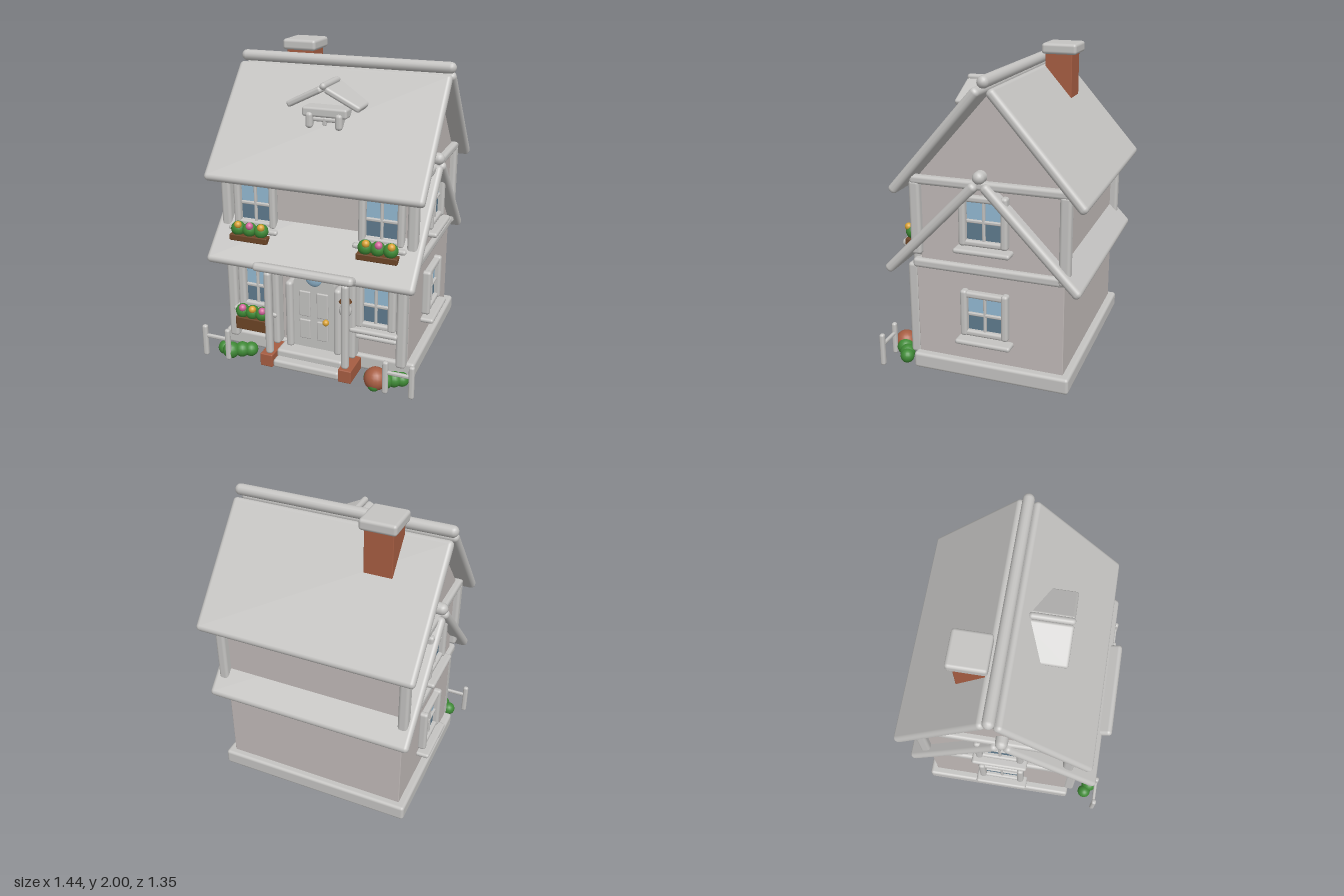
import * as THREE from 'three';
import { RoundedBoxGeometry } from 'three/addons/geometries/RoundedBoxGeometry.js';

const mat = (name, color) => Object.assign(new THREE.MeshStandardMaterial({ color }), { name });

export function createModel() {
  const house = new THREE.Group();
  house.name = 'cottage';
  const trim = mat('trim grey', 0xc4c3c1), wall = mat('wall grey', 0xc0b9b7);
  const brick = mat('brick', 0xa65d42), wood = mat('brown wood', 0x6c4426);
  const leaf = mat('leaf green', 0x3f8a36), pink = mat('pink', 0xd2669c);
  const gold = mat('gold', 0xd9a233);
  const glass = mat('glass', 0x93b9d2), lowGlass = mat('deep glass', 0x5f7b8e);

  const add = (name, geo, m, parent = house) => {
    const mesh = new THREE.Mesh(geo, m);
    mesh.name = name;
    parent.add(mesh);
    return mesh;
  };
  // Rounded block given by its limits on each axis
  const box = (name, m, [x0, x1], [y0, y1], [z0, z1], r = 0.02, parent = house) => {
    const mesh = add(name, new RoundedBoxGeometry(x1 - x0, y1 - y0, z1 - z0, 2, r), m, parent);
    mesh.position.set((x0 + x1) / 2, (y0 + y1) / 2, (z0 + z1) / 2);
    return mesh;
  };
  const ball = (name, m, r, x, y, z, parent = house) => {
    const mesh = add(name, new THREE.SphereGeometry(r, 18, 12), m, parent);
    mesh.position.set(x, y, z);
    return mesh;
  };
  // Rounded slab across the house, between two centre points (z, y)
  const slab = (name, halfX, [za, ya], [zb, yb], t = 0.06) => {
    const len = Math.hypot(zb - za, yb - ya) + t;
    const mesh = add(name, new RoundedBoxGeometry(halfX * 2, t, len, 3, t * 0.45), trim);
    mesh.position.set(0, (ya + yb) / 2, (za + zb) / 2);
    mesh.rotation.x = -Math.atan2(yb - ya, zb - za);
    return mesh;
  };
  const roll = (name, r, len, y, z) => {
    const mesh = add(name, new THREE.CapsuleGeometry(r, len - 2 * r, 4, 16), trim);
    mesh.rotation.z = Math.PI / 2;
    mesh.position.set(0, y, z);
    return mesh;
  };

  // Plinth and storeys
  box('plinth', trim, [-0.66, 0.66], [0.02, 0.125], [-0.577, 0.445], 0.02);
  box('groundFloor', wall, [-0.61, 0.61], [0.1, 0.76], [-0.53, 0.42], 0.005);
  box('upperFloor', wall, [-0.61, 0.61], [0.7, 1.3], [-0.52, 0.385], 0.005);
  const tri = new THREE.Shape([[-0.54, 1.27], [0.41, 1.27], [-0.065, 1.81]].map(p => new THREE.Vector2(...p)));
  const gable = new THREE.ExtrudeGeometry(tri, { depth: 1.22, bevelEnabled: false });
  gable.rotateY(-Math.PI / 2).translate(0.61, 0, 0);
  add('gable', gable, wall);

  // Timber posts and beams
  for (const s of [-1, 1]) {
    const side = (a, b) => (s > 0 ? [a, b] : [-b, -a]);
    box('upperFrontPost', trim, side(0.585, 0.65), [0.8, 1.27], [0.37, 0.44]);
    box('upperBackPost', trim, side(0.585, 0.65), [0.72, 1.27], [-0.57, -0.5]);
    box('gableBeam', trim, side(0.59, 0.65), [1.25, 1.305], [-0.57, 0.435]);
    box('floorBeam', trim, side(0.58, 0.64), [0.71, 0.77], [-0.535, 0.435]);
    box('cornerPost', trim, side(0.545, 0.61), [0.1, 0.72], [0.41, 0.485]);
    box('porchPilaster', trim, side(0.235, 0.285), [0.11, 0.67], [0.41, 0.5]);
  }
  box('frontBeam', trim, [-0.6, 0.6], [0.635, 0.675], [0.41, 0.46]);

  // Roofs
  slab('roofFront', 0.71, [-0.01, 1.825], [0.515, 1.225]);
  slab('roofBack', 0.71, [-0.645, 1.225], [-0.116, 1.825]);
  roll('roofRidge', 0.036, 1.44, 1.89, -0.065);
  slab('lowerRoofFront', 0.685, [0.026, 1.267], [0.577, 0.7]);
  slab('lowerRoofBack', 0.685, [-0.614, 0.7], [-0.063, 1.267]);
  roll('lowerRidge', 0.039, 1.37, 1.33, -0.016);

  // Chimney
  box('chimney', brick, [-0.425, -0.245], [1.55, 1.95], [-0.31, -0.13], 0.005);
  box('chimneyCap', trim, [-0.45, -0.22], [1.93, 2.0], [-0.342, -0.108], 0.02);

  // Window: local z points out of the wall; hw and y0..y1 are the pane, fw the frame width
  const windowAt = (name, x, z, turn, hw, y0, y1, fw, sillY) => {
    const g = new THREE.Group();
    g.name = name;
    const ym = (y0 + y1) / 2;
    box('upperPane', glass, [-hw, hw], [ym, y1], [0, 0.012], 0.001, g);
    box('lowerPane', lowGlass, [-hw, hw], [y0, ym], [0, 0.012], 0.001, g);
    for (const s of [-1, 1]) {
      const c = s * (hw + fw / 2);
      box('frameSide', trim, [c - fw / 2, c + fw / 2], [y0 - 0.03, y1 + 0.045], [-0.01, 0.05], 0.018, g);
    }
    box('frameTop', trim, [-hw - 0.02, hw + 0.02], [y1 - 0.005, y1 + 0.035], [-0.01, 0.04], 0.015, g);
    box('frameBottom', trim, [-hw - 0.02, hw + 0.02], [y0 - 0.03, y0 + 0.008], [-0.01, 0.04], 0.015, g);
    box('mullion', trim, [-0.009, 0.009], [y0, y1], [0, 0.028], 0.006, g);
    box('transom', trim, [-hw, hw], [ym - 0.01, ym + 0.01], [0, 0.028], 0.006, g);
    box('sill', trim, [-hw - fw - 0.025, hw + fw + 0.025], [sillY, sillY + 0.033], [-0.01, 0.085], 0.016, g);
    g.position.set(x, 0, z);
    g.rotation.y = turn;
    house.add(g);
  };
  for (const s of [-1, 1]) {
    windowAt('frontUpperWindow', s * 0.42, 0.385, 0, 0.1, 0.915, 1.16, 0.045, 0.858);
    windowAt('frontLowerWindow', s * 0.405, 0.425, 0, 0.08, 0.36, 0.61, 0.052, 0.305);
    windowAt('sideUpperWindow', s * 0.61, -0.037, s * Math.PI / 2, 0.11, 0.93, 1.18, 0.045, 0.86);
    windowAt('sideLowerWindow', s * 0.61, -0.037, s * Math.PI / 2, 0.11, 0.335, 0.565, 0.045, 0.258);
  }
  box('lowerFrontSill', trim, [0.28, 0.55], [0.255, 0.285], [0.41, 0.48], 0.014);

  // Flower boxes
  const flowerBox = (x, hw, y0, y1, z, gap, colours) => {
    const g = new THREE.Group();
    g.name = 'flowerBox';
    box('trough', wood, [x - hw, x + hw], [y0, y1], [z - 0.04, z + 0.035], 0.006, g);
    colours.forEach((c, i) => {
      const px = x + (i - 1) * gap;
      ball('foliage', leaf, 0.046, px, y1 + 0.035, z, g);
      ball('flower', c, 0.024, px + 0.012, y1 + 0.068, z + 0.025, g);
    });
    house.add(g);
  };
  for (const s of [-1, 1]) flowerBox(s * 0.425, 0.13, 0.815, 0.856, 0.49, 0.08, [gold, pink, gold]);
  flowerBox(-0.405, 0.108, 0.215, 0.3, 0.535, 0.07, [pink, gold, pink]);

  // Arched door with panels, fanlight and knob
  const arch = new THREE.Shape();
  arch.moveTo(-0.14, 0.12).lineTo(0.14, 0.12).lineTo(0.14, 0.56);
  arch.absellipse(0, 0.56, 0.14, 0.1, 0, Math.PI, false);
  arch.closePath();
  add('door', new THREE.ExtrudeGeometry(arch, { depth: 0.06, bevelEnabled: false, curveSegments: 16 }), trim).position.z = 0.41;
  for (const s of [-1, 1]) {
    for (const [y0, y1] of [[0.185, 0.32], [0.345, 0.52]])
      box('doorPanel', trim, [s * 0.06 - 0.038, s * 0.06 + 0.038], [y0, y1], [0.465, 0.482], 0.007);
    box('doorFrame', trim, [s * 0.165 - 0.025, s * 0.165 + 0.025], [0.11, 0.575], [0.41, 0.5], 0.022);
  }
  ball('fanlight', glass, 0.058, 0, 0.615, 0.465).scale.z = 0.4;
  ball('doorKnob', gold, 0.021, 0.088, 0.33, 0.49);

  // Porch
  slab('porchRoof', 0.33, [0.44, 0.645], [0.645, 0.722], 0.055);
  box('step', trim, [-0.225, 0.225], [0.02, 0.075], [0.43, 0.63], 0.018);
  box('upperStep', trim, [-0.225, 0.225], [0.06, 0.12], [0.43, 0.57], 0.018);
  for (const s of [-1, 1]) {
    box('brickPier', brick, [s * 0.267 - 0.043, s * 0.267 + 0.043], [0.02, 0.107], [0.44, 0.635], 0.006);
    box('porchColumn', trim, [s * 0.258 - 0.024, s * 0.258 + 0.024], [0.1, 0.675], [0.57, 0.618], 0.02);
  }
  ball('lampGlobe', trim, 0.04, 0.232, 0.46, 0.52);
  const cap = add('lampCap', new THREE.CylinderGeometry(0.02, 0.042, 0.03, 14), wood);
  cap.position.set(0.232, 0.535, 0.52);
  box('lampStem', wood, [0.224, 0.24], [0.49, 0.53], [0.5, 0.53], 0.006);

  // Dormer
  const ridge = add('dormerRidge', new THREE.CapsuleGeometry(0.021, 0.23, 4, 12), trim);
  ridge.rotation.x = Math.PI / 2;
  ridge.position.set(0, 1.795, 0.178);
  for (const s of [-1, 1]) {
    const roof = add('dormerRoof', new RoundedBoxGeometry(0.25, 0.04, 0.31, 2, 0.016), trim);
    roof.position.set(s * 0.125, 1.722, 0.153);
    roof.rotation.z = -s * 0.46;
    box('dormerPost', trim, [s * 0.097 - 0.023, s * 0.097 + 0.023], [1.53, 1.63], [0.22, 0.302], 0.02);
  }
  box('dormerHead', trim, [-0.147, 0.147], [1.6, 1.66], [0.1, 0.285], 0.015);
  box('dormerBar', trim, [-0.08, 0.08], [1.572, 1.6], [0.2, 0.28], 0.012);
  box('dormerMullion', trim, [-0.012, 0.012], [1.55, 1.6], [0.22, 0.28], 0.008);

  // Fences
  for (const s of [-1, 1]) {
    for (const x of [0.535, 0.7])
      box('fencePost', trim, [s * x - 0.018, s * x + 0.018], [0.02, 0.24], [0.627, 0.66], 0.014);
    box('fenceRail', trim, [s * 0.617 - 0.09, s * 0.617 + 0.09], [0.152, 0.178], [0.632, 0.654], 0.01);
  }

  // Shrubs and garden pot
  for (const [x, y, z, r] of [[-0.6, 0.055, 0.57, 0.046], [-0.54, 0.063, 0.6, 0.055], [-0.48, 0.06, 0.56, 0.05],
    [-0.43, 0.055, 0.53, 0.047], [0.43, 0.06, 0.57, 0.055], [0.51, 0.065, 0.58, 0.055],
    [0.56, 0.06, 0.54, 0.05], [0.605, 0.057, 0.52, 0.045], [0.46, 0.05, 0.63, 0.04]])
    ball('shrub', leaf, r, x, y, z);
  ball('gardenPot', brick, 0.073, 0.46, 0.078, 0.6);
  return house;
}
